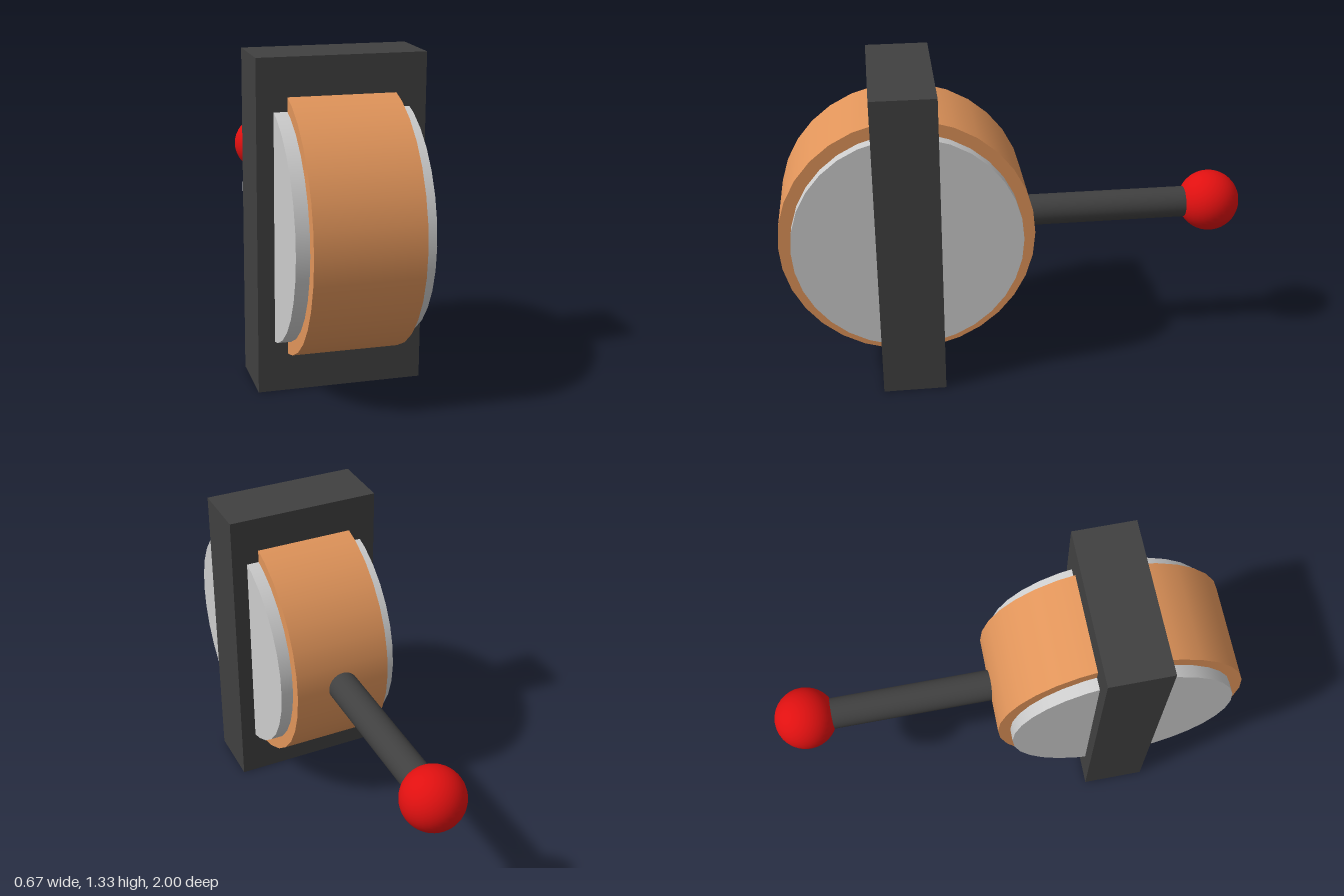
import * as THREE from 'three';

const WHEEL_Y = 0.667, WHEEL_Z = 0.467;

export function createModel() {
  const model = new THREE.Group();
  model.name = 'lever';

  const dark = new THREE.MeshStandardMaterial({ color: 0x404040 });
  const orange = new THREE.MeshStandardMaterial({ color: 0xe0945a });
  const grey = new THREE.MeshStandardMaterial({ color: 0xcccccc });
  const red = new THREE.MeshStandardMaterial({ color: 0xe01010 });

  const add = (name, geometry, material, y, z) => {
    const mesh = new THREE.Mesh(geometry, material);
    mesh.name = name;
    mesh.position.set(0, y, z);
    model.add(mesh);
    return mesh;
  };

  // Upright mounting plate
  add('plate', new THREE.BoxGeometry(0.667, 1.333, 0.267), dark, 0.6667, WHEEL_Z);

  // Wide wheel with a smaller, longer core showing on both sides
  const wheel = (radius, width) => new THREE.CylinderGeometry(radius, radius, width, 32).rotateZ(Math.PI / 2);
  add('wheel', wheel(0.533, 0.427), orange, WHEEL_Y, WHEEL_Z);
  add('wheelCore', wheel(0.48, 0.533), grey, WHEEL_Y, WHEEL_Z);

  // Handle rod from the wheel's centre into the knob
  const rodEnd = -0.8;
  const rod = new THREE.CylinderGeometry(0.067, 0.067, WHEEL_Z - rodEnd, 32).rotateX(Math.PI / 2);
  add('handleRod', rod, dark, WHEEL_Y, (WHEEL_Z + rodEnd) / 2);

  // Ball knob
  add('knob', new THREE.SphereGeometry(0.133, 32, 24), red, WHEEL_Y, -0.867);

  return model;
}
